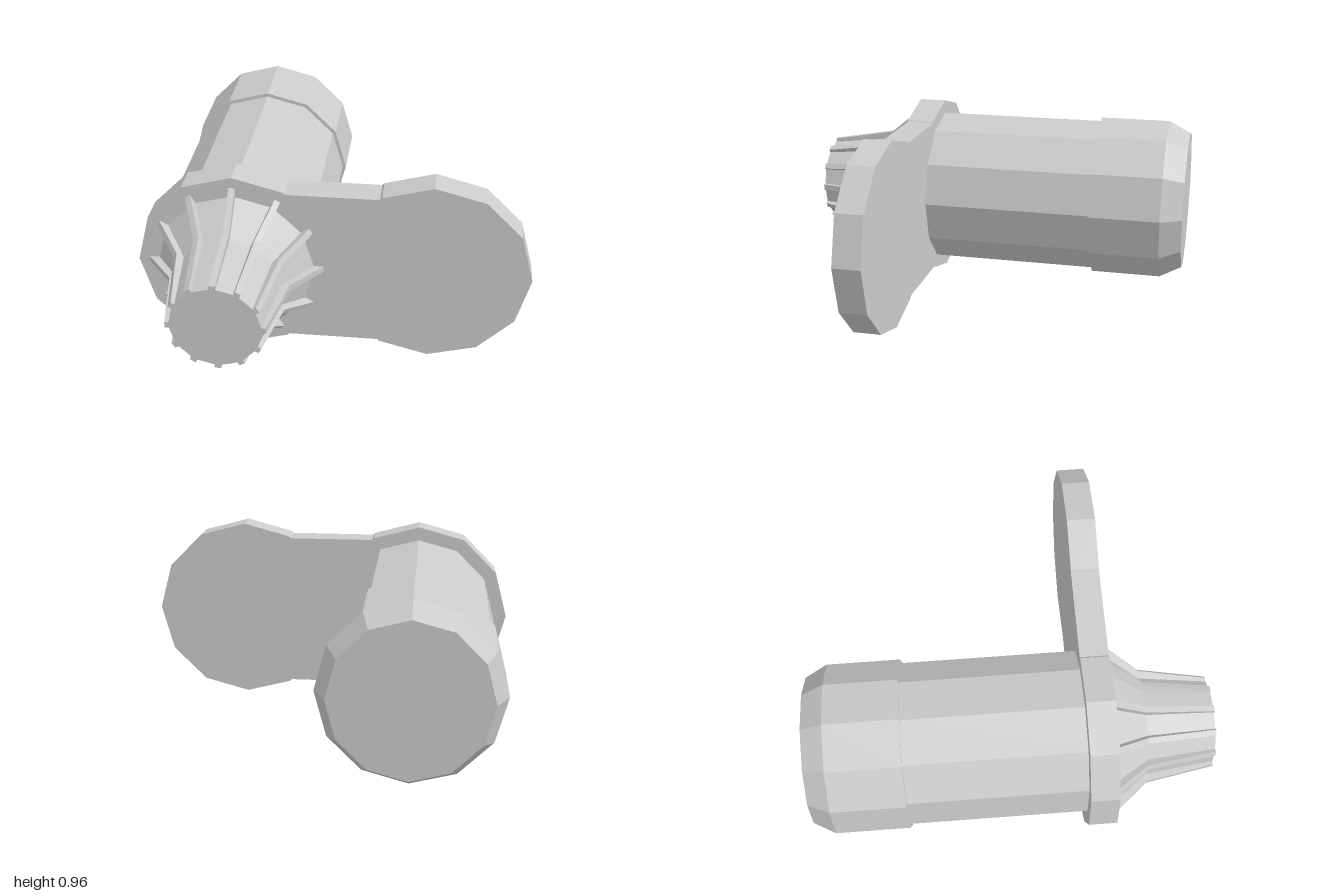
import * as THREE from 'three';

const SIDES = 12;
const CX = 0.473; // distance of each lobe centre from the middle
const CY = 0.4825; // axis height

const material = new THREE.MeshStandardMaterial({ color: 0xcccccc, flatShading: true });

function part(name, geometry) {
  const mesh = new THREE.Mesh(geometry, material);
  mesh.name = name;
  return mesh;
}

// Twelve-sided section along z, from radius r0 at z0 to r1 at z1 (z1 > z0)
function section(name, z0, r0, z1, r1) {
  const g = new THREE.CylinderGeometry(r1, r0, z1 - z0, SIDES);
  g.rotateX(Math.PI / 2);
  g.translate(0, 0, (z0 + z1) / 2);
  return part(name, g);
}

// Plate outline: two twelve-sided lobes joined by a straight neck
function plateGeometry() {
  const radius = 0.4825, neckX = 0.222, neckY = 0.4075;
  const points = [];
  const lobe = (cx, from) => {
    for (let i = 0; i <= 8; i++) {
      const a = THREE.MathUtils.degToRad(from + i * 30);
      points.push(new THREE.Vector2(cx + radius * Math.cos(a), CY + radius * Math.sin(a)));
    }
  };
  lobe(-CX, 60);
  points.push(new THREE.Vector2(-neckX, CY - neckY), new THREE.Vector2(neckX, CY - neckY));
  lobe(CX, -120);
  points.push(new THREE.Vector2(neckX, CY + neckY), new THREE.Vector2(-neckX, CY + neckY));
  const g = new THREE.ExtrudeGeometry(new THREE.Shape(points), { depth: 0.14, bevelEnabled: false });
  g.translate(0, 0, 0.352);
  return g;
}

// Fin profile in (radius, z), given thickness and laid along +x
function finGeometry() {
  const thickness = 0.03;
  const profile = [[0.17, 0.49], [0.43, 0.49], [0.29, 0.66], [0.23, 1], [0.17, 1]];
  const shape = new THREE.Shape(profile.map(([r, z]) => new THREE.Vector2(r, z)));
  const g = new THREE.ExtrudeGeometry(shape, { depth: thickness, bevelEnabled: false });
  g.translate(0, 0, -thickness / 2);
  g.rotateX(Math.PI / 2);
  return g;
}

export function createModel() {
  const model = new THREE.Group();
  model.name = 'finnedPlug';
  model.add(part('plate', plateGeometry()));

  // Everything turned about the barrel axis
  const axis = new THREE.Group();
  axis.name = 'barrelAssembly';
  axis.position.set(-CX, CY, 0);
  model.add(axis);

  axis.add(section('barrel', -0.53, 0.412, 0.36, 0.412));
  axis.add(section('sleeve', -0.89, 0.431, -0.525, 0.431));
  axis.add(section('sleeveChamfer', -1, 0.372, -0.89, 0.431));

  // Tapered nose with radial fins
  axis.add(section('noseBase', 0.49, 0.385, 0.66, 0.255));
  axis.add(section('noseTip', 0.66, 0.255, 1, 0.215));
  const fin = finGeometry();
  for (let i = 0; i < SIDES; i++) {
    const mesh = part('fin', fin);
    mesh.rotation.z = (i * 2 * Math.PI) / SIDES;
    axis.add(mesh);
  }
  return model;
}
